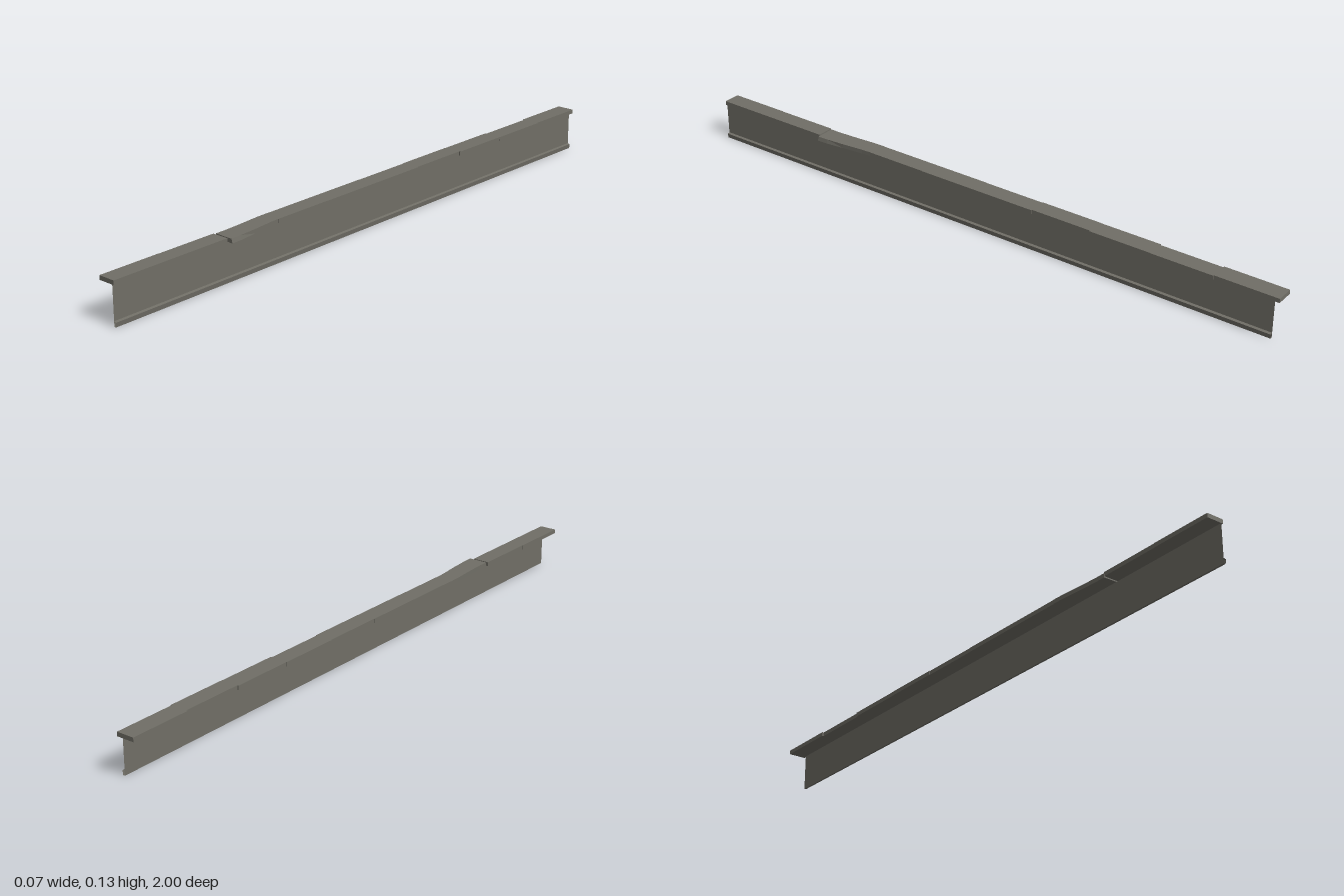
import * as THREE from 'three';

const CAP_BOTTOM = 0.117, CAP_TOP = 0.13;

export function createModel() {
  const group = new THREE.Group();
  group.name = 'cappedWall';
  const stone = new THREE.MeshStandardMaterial({ color: 0x706e66, side: THREE.DoubleSide });
  stone.name = 'greyStone';

  // Thin sheet following an open (x, y) profile along the wall's length
  function strip(name, profile, z0, z1) {
    const pos = [];
    for (let i = 0; i < profile.length - 1; i++) {
      const [ax, ay] = profile[i], [bx, by] = profile[i + 1];
      pos.push(ax, ay, z1, bx, by, z1, bx, by, z0, ax, ay, z1, bx, by, z0, ax, ay, z0);
    }
    const geo = new THREE.BufferGeometry();
    geo.setAttribute('position', new THREE.Float32BufferAttribute(pos, 3));
    geo.computeVertexNormals();
    const mesh = new THREE.Mesh(geo, stone);
    mesh.name = name;
    group.add(mesh);
  }
  strip('wallFace', [[0.016, CAP_BOTTOM], [0.016, 0]], -0.985, 1);
  strip('baseboard', [[0.016, 0.016], [0.024, 0.014], [0.022, 0], [0.016, 0]], -0.985, 1);

  // Coping slab from its plan outline: stations of [z, left edge, right edge]
  function slab(name, stations) {
    const outline = [
      ...stations.map(([z, l]) => new THREE.Vector2(l, -z)),
      ...stations.slice().reverse().map(([z, , r]) => new THREE.Vector2(r, -z)),
    ];
    const geo = new THREE.ExtrudeGeometry(new THREE.Shape(outline), {
      depth: CAP_TOP - CAP_BOTTOM, bevelEnabled: false,
    });
    geo.rotateX(-Math.PI / 2).translate(0, CAP_BOTTOM, 0);
    // Lean the upper edge of the protruding corner inward
    const p = geo.attributes.position;
    for (let i = 0; i < p.count; i++) {
      if (p.getX(i) > 0.03 && p.getY(i) > 0.125) p.setX(i, p.getX(i) - 0.003);
    }
    geo.computeVertexNormals();
    const mesh = new THREE.Mesh(geo, stone);
    mesh.name = name;
    group.add(mesh);
  }

  // Straight slabs, slightly out of line with each other
  const edges = [
    [-0.037, 0.020], [-0.032, 0.023], [-0.036, 0.022], [-0.037, 0.018], [-0.035, 0.021],
    [-0.036, 0.021], [-0.036, 0.020], null, [-0.032, 0.022], [-0.033, 0.022],
  ];
  edges.forEach((e, i) => {
    const z = -1 + i * 0.2;
    if (e) slab('copingSlab' + (i + 1), [[z, ...e], [z + 0.2, ...e]]);
  });

  // The one slab knocked askew
  slab('skewedCopingSlab', [
    [0.39, -0.037, 0.019], [0.43, -0.036, 0.021], [0.5, -0.031, 0.028],
    [0.56, -0.028, 0.035], [0.595, -0.028, 0.036],
  ]);
  return group;
}
